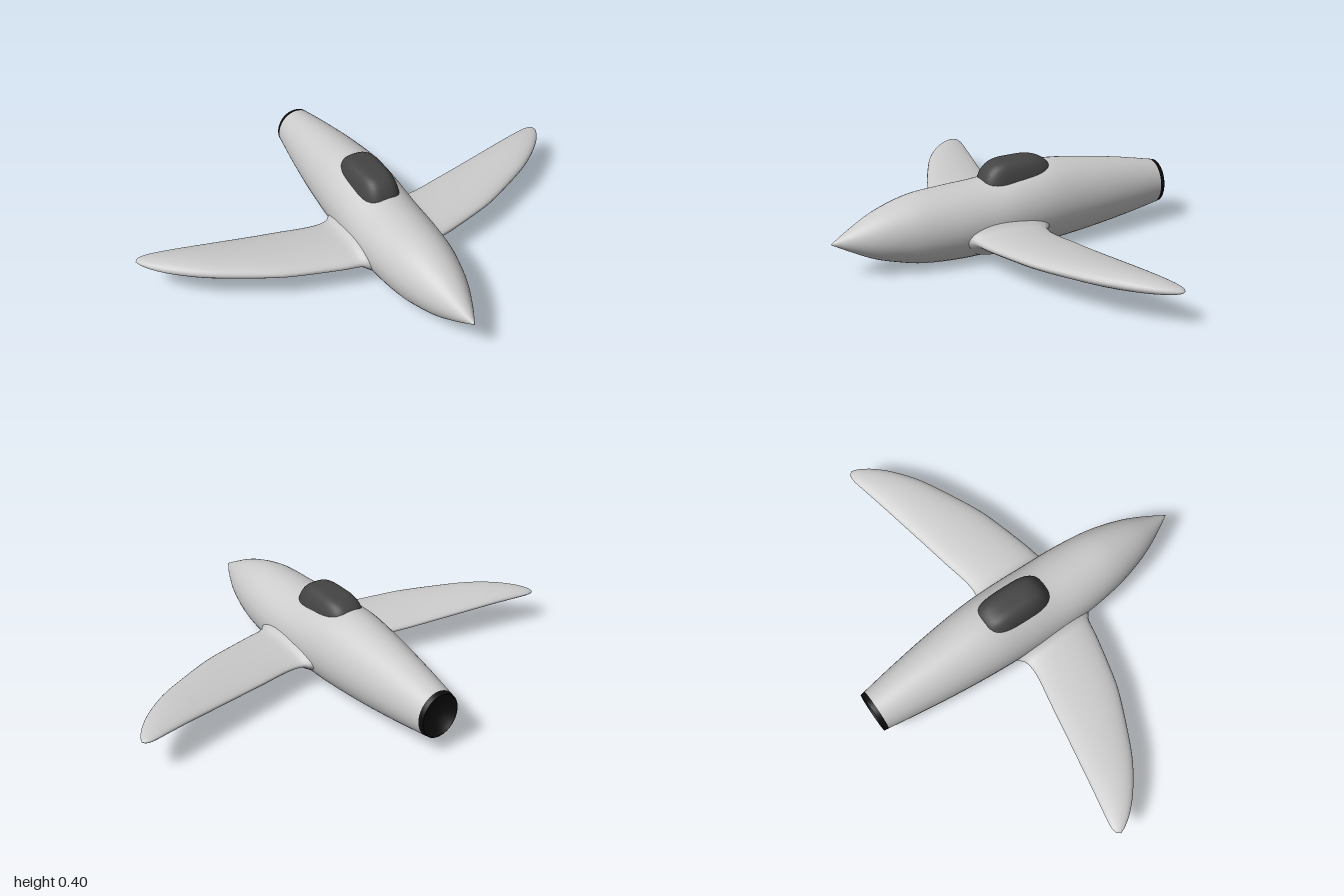
import * as THREE from 'three';

// Smooth lookup in a table of rows [key, ...values], keys ascending
function sample(table, t) {
  let i = 0;
  while (i < table.length - 2 && t > table[i + 1][0]) i++;
  const a = table[i], b = table[i + 1], h = b[0] - a[0], u = (t - a[0]) / h;
  const p = table[Math.max(i - 1, 0)], n = table[Math.min(i + 2, table.length - 1)];
  const u2 = u * u, u3 = u2 * u;
  return a.slice(1).map((_, m) => {
    const k = m + 1;
    const ta = h * (b[k] - p[k]) / (b[0] - p[0]);
    const tb = h * (n[k] - a[k]) / (n[0] - a[0]);
    return (2 * u3 - 3 * u2 + 1) * a[k] + (u3 - 2 * u2 + u) * ta + (3 * u2 - 2 * u3) * b[k] + (u3 - u2) * tb;
  });
}

// Skin between closed rings; point(i, angle) returns [x, y, z]
function loft(name, rings, segments, color, point) {
  const pos = [], idx = [];
  for (let i = 0; i < rings; i++) {
    for (let j = 0; j < segments; j++) {
      pos.push(...point(i, (j / segments) * Math.PI * 2));
      if (i === rings - 1) continue;
      const a = i * segments + j, b = i * segments + (j + 1) % segments;
      idx.push(a, a + segments, b, b, a + segments, b + segments);
    }
  }
  const geo = new THREE.BufferGeometry();
  geo.setAttribute('position', new THREE.Float32BufferAttribute(pos, 3));
  geo.setIndex(idx);
  geo.computeVertexNormals();
  const mesh = new THREE.Mesh(geo, new THREE.MeshStandardMaterial({ color }));
  mesh.name = name;
  return mesh;
}

// Fuselage: z, top, bottom, half width
const BODY = [
  [-0.775, 0.27, 0.075, 0.088],
  [-0.6, 0.308, 0.046, 0.115],
  [-0.4, 0.343, 0.02, 0.141],
  [-0.2, 0.366, 0.002, 0.159],
  [-0.05, 0.352, 0, 0.164],
  [0.1, 0.327, 0, 0.164],
  [0.25, 0.32, 0, 0.159],
  [0.4, 0.312, 0.012, 0.142],
  [0.5, 0.29, 0.036, 0.12],
  [0.6, 0.255, 0.068, 0.088],
  [0.7, 0.203, 0.118, 0.042],
  [0.775, 0.16, 0.16, 0],
];

function bodySection(z) {
  const [top, bottom, w] = sample(BODY, z);
  return { cy: (top + bottom) / 2, h: (top - bottom) / 2, w };
}

function bodyPoint(z, a, scale = 1, zOut = z) {
  const { cy, h, w } = bodySection(z);
  return [w * scale * Math.cos(a), cy + h * scale * Math.sin(a), zOut];
}

// Wing: x, leading edge z, trailing edge z, mid y, half thickness
const WING = [
  [0.12, 0.26, -0.17, 0.13, 0.1],
  [0.155, 0.235, -0.145, 0.125, 0.066],
  [0.18, 0.215, -0.121, 0.122, 0.043],
  [0.25, 0.2, -0.116, 0.123, 0.037],
  [0.4, 0.16, -0.145, 0.129, 0.035],
  [0.51, 0.125, -0.166, 0.134, 0.035],
  [0.68, 0.045, -0.2, 0.143, 0.034],
  [0.79, -0.015, -0.222, 0.149, 0.032],
  [0.89, -0.09, -0.243, 0.152, 0.026],
  [0.95, -0.15, -0.254, 0.152, 0.018],
  [0.985, -0.2, -0.251, 0.151, 0.01],
  [1, -0.235, -0.235, 0.15, 0],
];

function wing(name, side) {
  const rings = 44;
  return loft(name, rings, 28, 0xcccccc, (i, angle) => {
    // Rings are denser near the root fillet and the tip
    const u = i / (rings - 1);
    const x = 0.12 + 0.88 * (1 - Math.cos(u * Math.PI)) / 2;
    const [le, te, y, t] = sample(WING, x);
    const c = Math.cos(angle), s = Math.sin(angle) * side;
    return [side * x, y + t * s * (1 + 0.15 * c), (le + te) / 2 + (le - te) / 2 * c];
  });
}

// Canopy: rounded-rectangle footprint rising from the fuselage skin
function canopy() {
  const rings = 16, zc = -0.05, hw = 0.088, hl = 0.154;
  const round = (v) => Math.sign(v) * Math.pow(Math.abs(v), 0.6);
  return loft('canopy', rings, 40, 0x444444, (i, a) => {
    const s = Math.sin((1 - i / (rings - 1)) * Math.PI / 2);
    const x = hw * s * round(Math.cos(a)), z = zc + hl * s * round(Math.sin(a));
    const { cy, h, w } = bodySection(z);
    const skin = cy + h * Math.sqrt(1 - (x / w) ** 2) - 0.002;
    const rise = Math.pow(1 - s ** 4, 0.85);
    return [x, skin + (0.4 - skin) * rise, z];
  });
}

export function createModel() {
  const model = new THREE.Group();
  model.name = 'aircraft';

  const rings = 48, nose = 0.775, rear = -0.755;
  model.add(loft('fuselage', rings, 40, 0xcccccc,
    (i, a) => bodyPoint(nose + (rear - nose) * i / (rings - 1), a)));

  model.add(wing('leftWing', 1), wing('rightWing', -1), canopy());

  // Exhaust rim and shallow nozzle bowl: z, scale
  const nozzle = [[-0.755, 1], [-0.775, 1], [-0.775, 0.95], [-0.755, 0.85], [-0.735, 0.5], [-0.73, 0]];
  model.add(loft('exhaustNozzle', nozzle.length, 40, 0x0c0c0c,
    (i, a) => bodyPoint(i ? -0.775 : -0.755, a, nozzle[i][1], nozzle[i][0])));

  return model;
}
